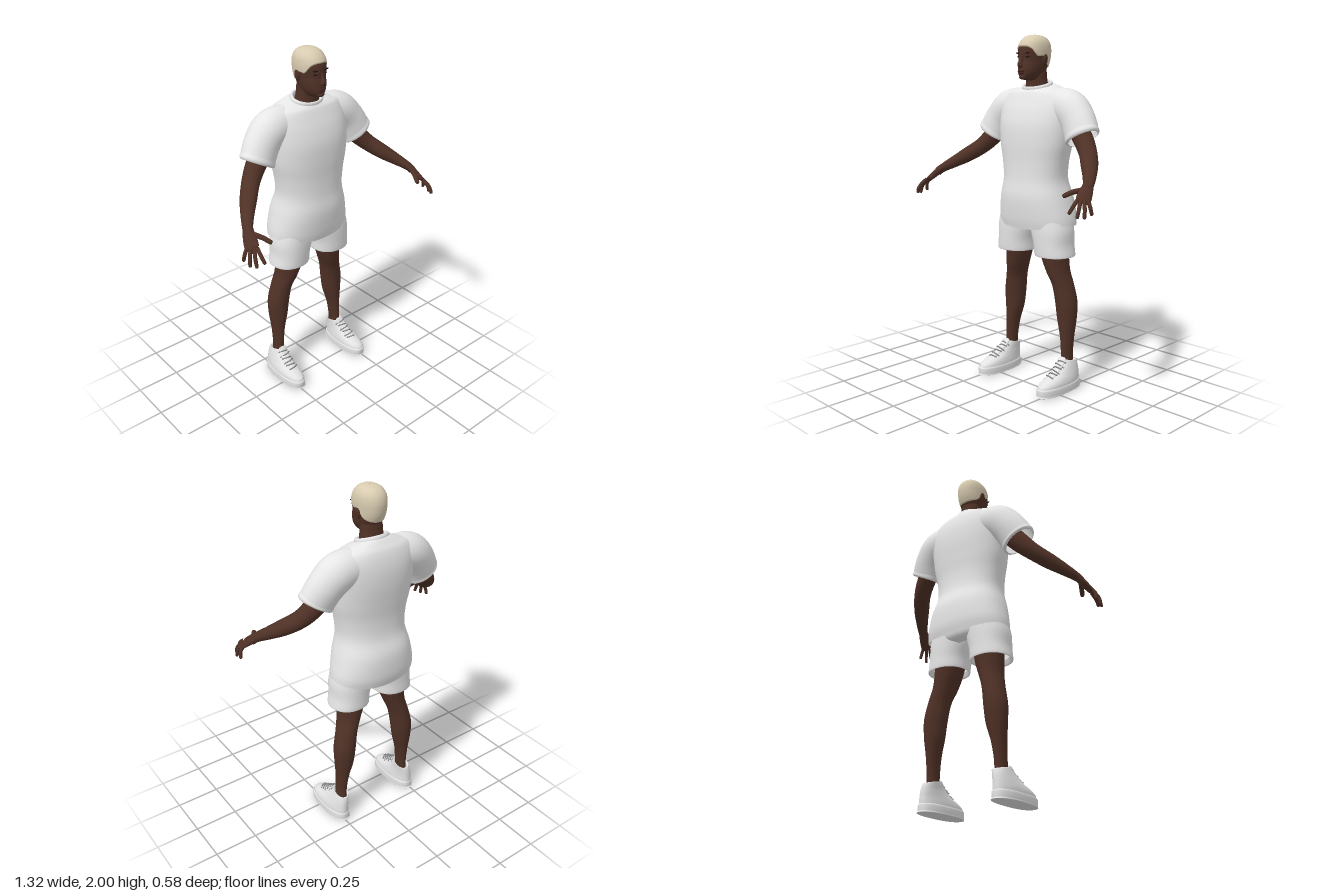
import * as THREE from 'three';

const mat = (name, color, side = THREE.FrontSide) => {
  const m = new THREE.MeshStandardMaterial({ color, side });
  m.name = name;
  return m;
};
const V = (x, y, z) => new THREE.Vector3(x, y, z);

// Catmull-Rom blend of whole table rows; s runs 0..1
function sample(rows, s) {
  const f = Math.min(Math.max(s, 0), 1) * (rows.length - 1);
  const i = Math.min(Math.floor(f), rows.length - 2), t = f - i;
  const at = k => rows[Math.min(Math.max(k, 0), rows.length - 1)];
  const [p, q, r, w] = [at(i - 1), at(i), at(i + 1), at(i + 2)];
  return q.map((b, k) => b + 0.5 * t * (r[k] - p[k]
    + t * (2 * p[k] - 5 * b + 4 * r[k] - w[k] + t * (3 * (b - r[k]) + w[k] - p[k]))));
}

// Seamless ring grid from f(angle, v)
function surface(n, m, f) {
  const pos = [], idx = [];
  for (let j = 0; j <= m; j++) for (let i = 0; i < n; i++)
    pos.push(...f((i / n) * Math.PI * 2, j / m));
  for (let j = 0; j < m; j++) for (let i = 0; i < n; i++) {
    const k = (i + 1) % n, a = j * n + i, b = j * n + k;
    idx.push(a, a + n, b, b, a + n, b + n);
  }
  const g = new THREE.BufferGeometry();
  g.setAttribute('position', new THREE.Float32BufferAttribute(pos, 3));
  g.setIndex(idx);
  g.computeVertexNormals();
  return g;
}

const pw = (c, e) => Math.sign(c) * Math.abs(c) ** (2 / e);

// Level ring from a row: y, centre x, half width, front z, back z, tilt, dip
function ring([y, cx, rx, zf, zb, tilt, dip], a, e) {
  const dz = pw(Math.sin(a), e) * (zf - zb) / 2;
  return [cx + rx * pw(Math.cos(a), e), y + tilt * dz - dip * Math.sin(a) ** 2, (zf + zb) / 2 + dz];
}
// Tilt and dip may be left out of a row
const fill = rows => rows.map(([y, cx, rx, zf, zb, tilt = 0, dip = 0]) => [y, cx, rx, zf, zb, tilt, dip]);
function stack(rows, e = 2, n = 40) {
  const full = fill(rows);
  return surface(n, rows.length * 5, (a, v) => ring(sample(full, v), a, e));
}

// Limb along a path; rows: x, y, z, half size across, half size along ref
function limb(rows, ref = V(0, 0, 1), n = 24) {
  return surface(n, rows.length * 5, (a, v) => {
    const r = sample(rows, v), p = sample(rows, v - 0.02), q = sample(rows, v + 0.02);
    const T = V(q[0] - p[0], q[1] - p[1], q[2] - p[2]).normalize();
    const w = ref.clone().addScaledVector(T, -ref.dot(T)).normalize();
    const u = T.clone().cross(w);
    return V(r[0], r[1], r[2]).addScaledVector(u, r[3] * Math.cos(a))
      .addScaledVector(w, r[4] * Math.sin(a)).toArray();
  });
}

function ball(x, y, z, rx, ry, rz, tilt = 0) {
  return new THREE.SphereGeometry(1, 20, 14).scale(rx, ry, rz).rotateZ(tilt).translate(x, y, z);
}

function mirrored(geo) {
  const g = geo.clone().scale(-1, 1, 1), ix = g.index.array;
  for (let i = 0; i < ix.length; i += 3) [ix[i], ix[i + 1]] = [ix[i + 1], ix[i]];
  return g;
}

export function createModel() {
  const root = new THREE.Group();
  const skin = mat('skin', 0x4f3126);
  const hairMat = mat('hair', 0xd8cbb0);
  const cloth = mat('white cloth', 0xe6e6e6, THREE.DoubleSide);
  const shoeMat = mat('shoe white', 0xe2e2e2, THREE.DoubleSide);
  const laceMat = mat('lace grey', 0x8c8c8c);
  const dark = mat('brow', 0x20130e);
  const lipMat = mat('lips', 0x432420);
  const add = (name, geo, m) => {
    const mesh = new THREE.Mesh(geo, m);
    mesh.name = name;
    root.add(mesh);
  };
  const pair = (name, geo, m) => {
    add(name + 'Left', geo, m);
    add(name + 'Right', mirrored(geo), m);
  };

  // Head and cropped hair share one set of rings
  const headRows = fill([
    [1.75, 0, 0.03, -0.05, -0.13], [1.757, 0, 0.036, 0.0, -0.14], [1.775, 0, 0.05, 0.015, -0.145],
    [1.80, 0, 0.062, 0.018, -0.155], [1.83, 0, 0.068, 0.016, -0.17], [1.86, 0, 0.071, 0.011, -0.182],
    [1.89, 0, 0.073, 0.014, -0.188], [1.92, 0, 0.074, 0.012, -0.189], [1.95, 0, 0.07, 0.0, -0.182],
    [1.973, 0, 0.058, -0.02, -0.166], [1.987, 0, 0.041, -0.042, -0.143],
    [1.993, 0, 0.02, -0.067, -0.117], [1.9945, 0, 0.0005, -0.091, -0.092]]);
  add('head', stack(headRows, 2.15, 48), skin);
  const hairline = [[7.4], [7.35], [6.9], [5.7], [5.7], [4.4], [3.9], [3.7], [3.6]];
  add('hair', surface(64, 40, (a, v) => {
    const start = sample(hairline, Math.acos(Math.sin(a)) / Math.PI)[0] / 12;
    const p = ring(sample(headRows, start + (1 - start) * v), a, 2.15);
    const k = v === 0 ? 0.98 : 1.05;
    return [p[0] * k, 1.89 + (p[1] - 1.89) * k, -0.087 + (p[2] + 0.087) * k];
  }), hairMat);
  add('neck', stack([[1.64, 0, 0.085, -0.05, -0.2], [1.7, 0, 0.072, -0.05, -0.18],
    [1.75, 0, 0.063, -0.05, -0.166], [1.81, 0, 0.06, -0.045, -0.16]]), skin);

  // Face
  add('nose', limb([[0, 1.888, 0.012, 0.006, 0.006], [0, 1.86, 0.018, 0.009, 0.009],
    [0, 1.838, 0.025, 0.015, 0.013], [0, 1.825, 0.02, 0.016, 0.01], [0, 1.818, 0.014, 0.002, 0.002]]), skin);
  add('upperLip', ball(0, 1.8, 0.016, 0.025, 0.006, 0.01), lipMat);
  add('lowerLip', ball(0, 1.79, 0.015, 0.022, 0.007, 0.01), lipMat);
  add('chin', ball(0, 1.768, 0.004, 0.024, 0.013, 0.015), skin);
  pair('brow', ball(0.033, 1.897, 0.003, 0.02, 0.004, 0.008, 0.12), dark);
  pair('eye', ball(0.031, 1.878, -0.001, 0.014, 0.005, 0.009), dark);
  pair('ear', ball(0.076, 1.862, -0.095, 0.01, 0.031, 0.018, -0.2), skin);

  // Loose T-shirt
  add('shirtBody', stack([
    [0.95, 0, 0.254, 0.034, -0.274, 0.02, 0.03], [1.0, 0, 0.249, 0.047, -0.288, 0, 0.015],
    [1.1, 0, 0.227, 0.057, -0.283], [1.2, 0, 0.203, 0.046, -0.25],
    [1.3, 0, 0.212, 0.043, -0.243], [1.4, 0, 0.234, 0.045, -0.252],
    [1.5, 0, 0.246, 0.04, -0.261], [1.58, 0, 0.25, 0.02, -0.26],
    [1.64, 0, 0.245, -0.005, -0.25], [1.685, 0, 0.215, -0.025, -0.233, -0.03],
    [1.705, 0, 0.165, -0.035, -0.212, -0.12], [1.718, 0, 0.115, -0.038, -0.192, -0.25],
    [1.722, 0, 0.088, -0.043, -0.182, -0.3]], 2.25, 56), cloth);
  pair('sleeve', limb([
    [0.1, 1.615, -0.135, 0.095, 0.09], [0.22, 1.598, -0.132, 0.106, 0.1],
    [0.295, 1.535, -0.122, 0.102, 0.092], [0.345, 1.45, -0.103, 0.102, 0.083]], V(0, 0, 1), 36), cloth);
  pair('sleeveHem', limb([
    [0.333, 1.47, -0.107, 0.102, 0.084], [0.346, 1.449, -0.103, 0.104, 0.086],
    [0.35, 1.442, -0.102, 0.09, 0.074]], V(0, 0, 1), 36), cloth);
  add('collar', new THREE.TorusGeometry(1, 0.12, 10, 48).rotateX(Math.PI / 2)
    .scale(0.088, 0.13, 0.07).rotateX(0.3).translate(0, 1.722, -0.113), cloth);

  // Shorts
  add('shortsSeat', stack([[0.905, 0, 0.15, -0.04, -0.17], [0.925, 0, 0.225, 0.0, -0.215],
    [0.98, 0, 0.235, 0.01, -0.23], [1.06, 0, 0.21, 0.0, -0.22]]), cloth);
  pair('shortsLeg', stack([
    [0.8, 0.147, 0.098, -0.012, -0.198], [0.776, 0.149, 0.108, -0.002, -0.208],
    [0.777, 0.15, 0.115, 0.005, -0.216], [0.84, 0.143, 0.113, 0.01, -0.217],
    [0.92, 0.132, 0.122, 0.013, -0.22], [1.0, 0.12, 0.115, 0.01, -0.22]], 2.2), cloth);

  // Legs
  pair('leg', stack([
    [0.1, 0.228, 0.03, -0.09, -0.175], [0.2, 0.226, 0.028, -0.09, -0.174],
    [0.3, 0.221, 0.036, -0.09, -0.186], [0.4, 0.212, 0.055, -0.086, -0.203],
    [0.5, 0.206, 0.063, -0.079, -0.21], [0.6, 0.187, 0.059, -0.068, -0.204],
    [0.68, 0.162, 0.063, -0.045, -0.198], [0.77, 0.143, 0.076, -0.028, -0.2],
    [0.9, 0.13, 0.088, -0.01, -0.205]]), skin);

  // Arms, palms and fingers
  pair('arm', limb([
    [0.24, 1.58, -0.125, 0.06, 0.06], [0.31, 1.485, -0.115, 0.058, 0.058],
    [0.365, 1.42, -0.1, 0.054, 0.054], [0.42, 1.362, -0.066, 0.047, 0.05],
    [0.48, 1.31, -0.005, 0.043, 0.046], [0.535, 1.265, 0.06, 0.033, 0.036],
    [0.575, 1.23, 0.115, 0.024, 0.029], [0.59, 1.207, 0.143, 0.02, 0.03]]), skin);
  const spread = V(-0.45, 0, 0.9);
  pair('palm', limb([
    [0.574, 1.233, 0.113, 0.02, 0.027], [0.59, 1.207, 0.145, 0.019, 0.033],
    [0.602, 1.183, 0.175, 0.016, 0.038], [0.611, 1.164, 0.198, 0.012, 0.037],
    [0.613, 1.158, 0.205, 0.002, 0.025]], spread), skin);
  const fingers = {
    indexFinger: [[0.597, 1.17, 0.222], [0.602, 1.14, 0.262], [0.6, 1.112, 0.287]],
    middleFinger: [[0.606, 1.166, 0.21], [0.627, 1.13, 0.245], [0.632, 1.092, 0.263]],
    ringFinger: [[0.615, 1.166, 0.194], [0.641, 1.128, 0.218], [0.648, 1.087, 0.228]],
    littleFinger: [[0.621, 1.17, 0.175], [0.645, 1.135, 0.182], [0.651, 1.098, 0.177]],
    thumb: [[0.58, 1.212, 0.145], [0.55, 1.203, 0.2], [0.527, 1.185, 0.243]],
  };
  for (const [name, [a, b, c]] of Object.entries(fingers)) {
    const r = name === 'thumb' ? 0.014 : 0.0105;
    const tip = c.map((x, i) => x + (x - b[i]) * 0.12);
    pair(name, limb([[...a, r, r], [...b, r * 0.95, r * 0.95], [...c, r * 0.8, r * 0.8],
      [...tip, 0.001, 0.001]], spread, 12), skin);
  }

  // Trainers: sole, upper, tongue and laces
  pair('sole', stack([
    [0.001, 0.243, 0.001, -0.04, -0.042], [0.001, 0.243, 0.056, 0.108, -0.198],
    [0.012, 0.243, 0.062, 0.118, -0.205], [0.042, 0.243, 0.062, 0.12, -0.205],
    [0.05, 0.243, 0.057, 0.114, -0.2]], 2.4), shoeMat);
  pair('shoeUpper', stack([
    [0.045, 0.243, 0.059, 0.115, -0.201], [0.065, 0.243, 0.058, 0.105, -0.201],
    [0.085, 0.242, 0.054, 0.068, -0.2], [0.105, 0.24, 0.049, 0.012, -0.199],
    [0.13, 0.237, 0.044, -0.036, -0.197, 0.05], [0.152, 0.233, 0.041, -0.066, -0.193, 0.1],
    [0.167, 0.23, 0.038, -0.082, -0.188, 0.2], [0.16, 0.229, 0.03, -0.09, -0.178, 0.2]], 2.25), shoeMat);
  pair('tongue', limb([[0.241, 0.085, 0.045, 0.022, 0.008], [0.238, 0.12, -0.02, 0.025, 0.01],
    [0.234, 0.152, -0.064, 0.026, 0.01], [0.231, 0.182, -0.088, 0.024, 0.006],
    [0.231, 0.184, -0.09, 0.002, 0.002]], V(0, 0.7, 0.7)), shoeMat);
  for (let i = 0; i < 6; i++) {
    const t = i / 5, x = 0.24 - 0.008 * t, y = 0.106 + 0.062 * t, z = 0.03 - 0.1 * t;
    const s = i % 2 ? 0.006 : -0.006;
    const path = new THREE.CatmullRomCurve3([V(x - 0.033, y - 0.014 - s, z - 0.012),
      V(x, y + 0.004, z + 0.008), V(x + 0.033, y - 0.014 + s, z - 0.012)]);
    pair('lace' + (i + 1), new THREE.TubeGeometry(path, 10, 0.0042, 6), laceMat);
  }
  return root;
}
